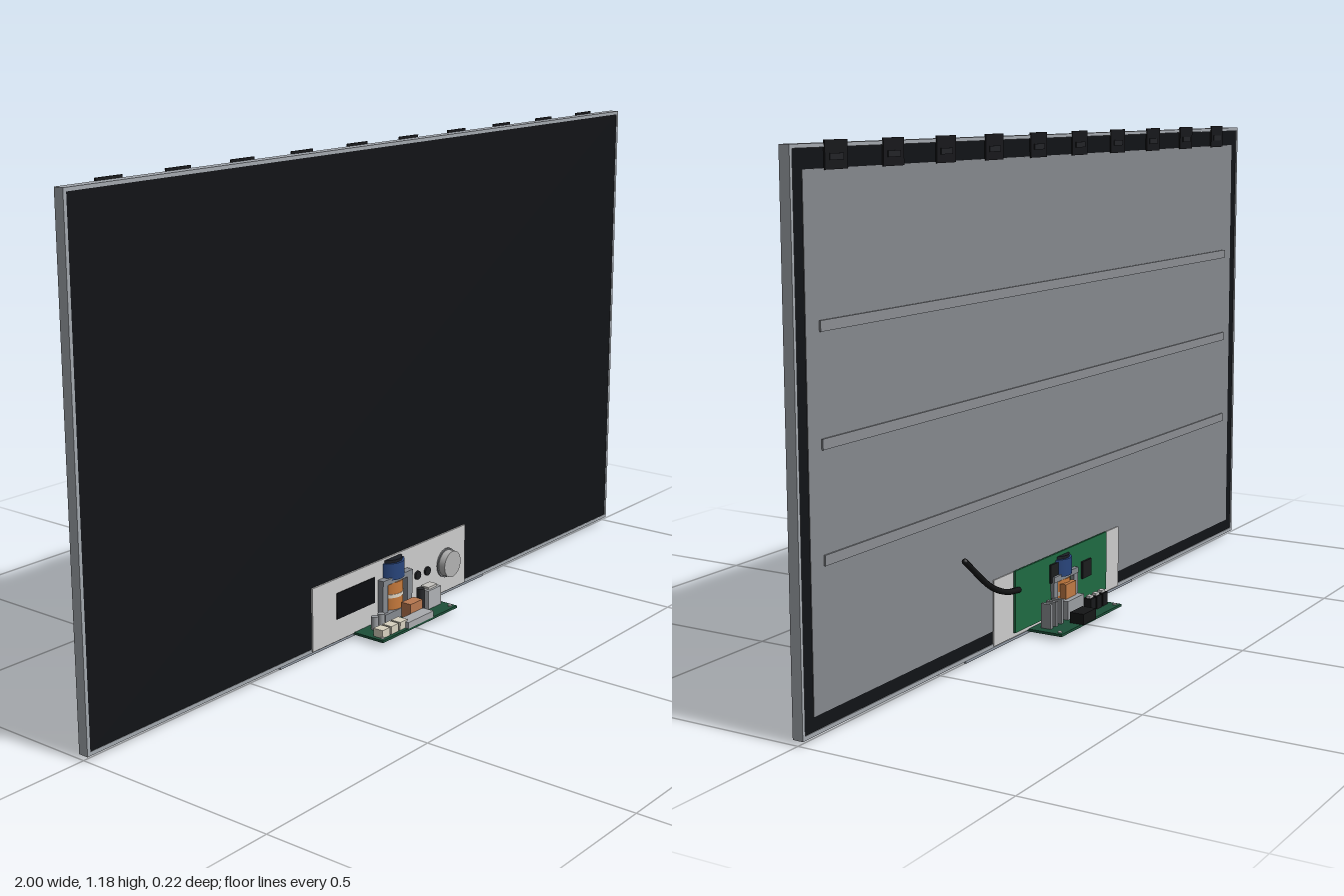
import * as THREE from 'three';

const mats = {};
const mat = (color) => (mats[color] ??= new THREE.MeshStandardMaterial({ color }));

export function createModel() {
  const root = new THREE.Group();
  let parent = root;
  const group = (name) => {
    parent = new THREE.Group();
    parent.name = name;
    root.add(parent);
  };
  const add = (name, geo, color) => {
    const m = new THREE.Mesh(geo, mat(color));
    m.name = name;
    parent.add(m);
    return m;
  };
  // Box given by its extents
  const box = (name, color, x0, x1, y0, y1, z0, z1) =>
    add(name, new THREE.BoxGeometry(x1 - x0, y1 - y0, z1 - z0), color)
      .position.set((x0 + x1) / 2, (y0 + y1) / 2, (z0 + z1) / 2);
  const disc = (name, color, r, x, y, z0, z1) => {
    const m = add(name, new THREE.CylinderGeometry(r, r, z1 - z0, 32), color);
    m.rotation.x = Math.PI / 2;
    m.position.set(x, y, (z0 + z1) / 2);
  };
  const post = (name, color, r, x, z, y0, y1) =>
    add(name, new THREE.CylinderGeometry(r, r, y1 - y0, 20), color)
      .position.set(x, (y0 + y1) / 2, z);

  // Screen: thin metal frame, black front, grey back plate
  group('screen');
  const rect = (C, x, y0, y1) => {
    const s = new C();
    s.moveTo(-x, y0).lineTo(x, y0).lineTo(x, y1).lineTo(-x, y1).closePath();
    return s;
  };
  const outline = rect(THREE.Shape, 1, 0.013, 1.173);
  outline.holes.push(rect(THREE.Path, 0.992, 0.022, 1.165));
  const frame = add('bezelFrame',
    new THREE.ExtrudeGeometry(outline, { depth: 0.025, bevelEnabled: false }), 0xa3a8ae);
  frame.position.z = -0.0125;
  box('displayPanel', 0x111316, -0.992, 0.992, 0.022, 1.165, -0.0105, 0.0115);
  box('backPlate', 0x85888d, -0.962, 0.962, 0.052, 1.125, -0.0118, -0.009);

  // Stiffening ribs across the back
  for (const y of [0.36, 0.592, 0.824])
    box('backRib', 0x8a8d92, -0.92, 0.92, y - 0.011, y + 0.011, -0.0155, -0.011);

  // Driver tabs along the top edge
  for (let i = 0; i < 10; i++) {
    const x = -0.86 + i * 0.191;
    box('driverTab', 0x17181b, x - 0.036, x + 0.036, 1.122, 1.179, -0.0145, -0.011);
    box('driverChip', 0x222327, x - 0.022, x + 0.022, 1.14, 1.153, -0.0165, -0.0145);
  }
  box('edgeStrip', 0x8f98a3, -0.4, 0.4, 0.002, 0.016, -0.003, 0.003);

  // Control unit with display, buttons and dial
  group('controlUnit');
  box('controlPlate', 0xbcbcbc, -0.3, 0.3, 0.016, 0.172, -0.0145, 0.016);
  box('smallDisplay', 0x0c0d10, -0.214, -0.072, 0.071, 0.136, 0.015, 0.018);
  for (const x of [0.058, 0.098, 0.138]) disc('button', 0x1b1c1f, 0.011, x, 0.093, 0.015, 0.021);
  disc('dialCollar', 0x77797c, 0.038, 0.218, 0.093, 0.015, 0.02);
  disc('dial', 0xb2b2b2, 0.034, 0.218, 0.093, 0.02, 0.038);

  // Upright circuit board on the back, with aerial
  group('rearBoard');
  box('uprightBoard', 0x1f6b42, -0.22, 0.22, 0.028, 0.176, -0.023, -0.018);
  box('boardChip', 0x1b1c1e, 0.005, 0.065, 0.11, 0.155, -0.028, -0.023);
  box('boardChip', 0x1b1c1e, -0.135, -0.09, 0.085, 0.128, -0.028, -0.023);
  for (const x of [-0.2, 0.2])
    for (const y of [0.04, 0.164]) disc('standoff', 0x8d8f92, 0.005, x, y, -0.022, -0.014);
  const path = new THREE.CatmullRomCurve3([
    new THREE.Vector3(0.21, 0.13, -0.026), new THREE.Vector3(0.27, 0.14, -0.029),
    new THREE.Vector3(0.335, 0.168, -0.029), new THREE.Vector3(0.44, 0.25, -0.028)]);
  add('aerial', new THREE.TubeGeometry(path, 24, 0.007, 10), 0x121314);
  for (const t of [0, 1])
    add('aerialEnd', new THREE.SphereGeometry(0.007, 12, 8), 0x121314).position.copy(path.getPoint(t));

  // Flat power board under the screen
  group('powerBoard');
  box('flatBoard', 0x1c4f38, -0.148, 0.148, 0.012, 0.018, -0.105, 0.103);
  for (const x of [-0.135, 0.135])
    for (const z of [-0.093, 0.091]) post('boardScrew', 0xc0c0c0, 0.005, x, z, 0.017, 0.021);

  // Transformer: iron core, copper winding, blue capped top
  group('transformer');
  for (const s of [-1, 1]) {
    const x = s * 0.048;
    box('coreLeg', 0x85898f, x - 0.01, x + 0.01, 0.018, 0.123, -0.032, 0.032);
    box('terminal', 0x1c1d20, s * 0.016 - 0.005, s * 0.016 + 0.005, 0.165, 0.182, -0.005, 0.005);
  }
  box('coreBase', 0x85898f, -0.058, 0.058, 0.018, 0.04, -0.04, 0.04);
  box('coreTop', 0x85898f, -0.058, 0.058, 0.11, 0.124, -0.034, 0.034);
  post('winding', 0xc77a3c, 0.038, 0, 0, 0.04, 0.11);
  post('windingBand', 0xe3d9c8, 0.0395, 0, 0, 0.071, 0.08);
  post('blueCap', 0x28457c, 0.042, 0, 0, 0.118, 0.16);
  post('capTop', 0x1c1f26, 0.036, 0, 0, 0.16, 0.167);

  // Front sockets and parts
  group('frontParts');
  for (const x of [-0.124, -0.09, -0.056])
    box('creamSocket', 0xd8d2c0, x - 0.014, x + 0.014, 0.018, 0.038, 0.066, 0.094);
  box('metalSocket', 0xa9abae, -0.05, 0.05, 0.018, 0.034, 0.072, 0.104);
  box('orangeRelay', 0xb87850, 0.002, 0.05, 0.018, 0.056, 0.042, 0.07);
  box('tallSocket', 0xb0b2b5, 0.082, 0.134, 0.018, 0.066, 0.028, 0.064);
  box('socketLid', 0xc6c4c0, 0.09, 0.126, 0.066, 0.072, 0.034, 0.058);
  for (const x of [-0.1, -0.075]) post('smallCapacitor', 0x9a9da1, 0.009, x, 0.04, 0.018, 0.05);
  post('smallCapacitor', 0x26272a, 0.01, 0.068, 0.05, 0.018, 0.075);

  // Rear parts
  group('rearParts');
  for (const x of [0.07, 0.095, 0.12])
    box('heatFin', 0x8b8e92, x - 0.005, x + 0.005, 0.018, 0.078, -0.062, -0.035);
  for (const x of [-0.06, -0.09, -0.12]) {
    box('rearSocket', 0x18191b, x - 0.012, x + 0.012, 0.018, 0.05, -0.075, -0.053);
    box('whiteLink', 0xd0d0cc, x - 0.008, x + 0.008, 0.05, 0.056, -0.07, -0.058);
  }
  box('powerInlet', 0x151617, -0.005, 0.055, 0.018, 0.044, -0.112, -0.074);
  box('orangePart', 0xc07a45, -0.025, 0.025, 0.04, 0.1, -0.046, -0.03);
  box('rearSink', 0x9a9da1, -0.04, 0.04, 0.018, 0.064, -0.06, -0.04);

  return root;
}
